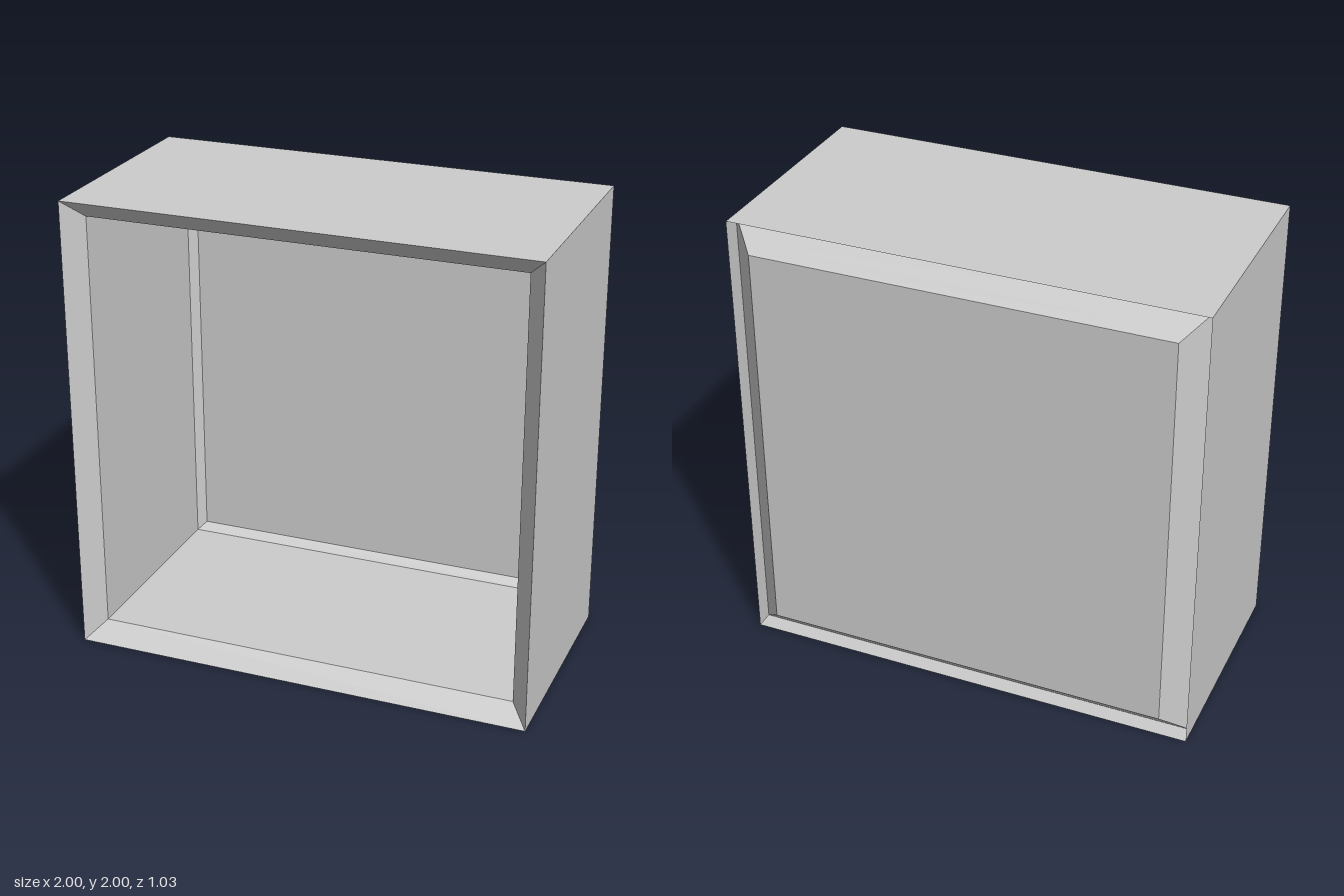
import * as THREE from 'three';

const material = new THREE.MeshStandardMaterial({
  color: 0xcccccc, flatShading: true, side: THREE.DoubleSide,
});

// Sweep a [half-width, z] profile around a square, with mitred corners.
function squareRing(name, profile) {
  const points = profile.map(([half, z]) => new THREE.Vector2(half * Math.SQRT2, z));
  const swept = new THREE.LatheGeometry(points, 4, Math.PI / 4);
  swept.rotateX(Math.PI / 2);
  const geometry = swept.toNonIndexed();
  geometry.computeVertexNormals();
  const mesh = new THREE.Mesh(geometry, material);
  mesh.name = name;
  mesh.position.y = 1;
  return mesh;
}

export function createModel() {
  const group = new THREE.Group();
  group.name = 'openBox';

  const outer = 1, inner = 0.922, panel = 0.889;
  const front = 0.517, rear = -0.483, panelZ = -0.517;
  const bevel = outer - inner;

  // Box shell and the bevelled lip round the front opening
  group.add(squareRing('outerWalls', [[outer, rear], [outer, front]]));
  group.add(squareRing('frontBevel', [[outer, front], [inner, front - bevel]]));
  group.add(squareRing('innerWalls', [[inner, front - bevel], [inner, rear]]));

  // Recessed slope behind the rear rim, and the raised panel's chamfer
  group.add(squareRing('rearBevel', [[outer, rear + bevel], [inner, rear]]));
  group.add(squareRing('panelChamfer', [[inner, rear], [panel, panelZ]]));

  // Flat back panel
  const back = new THREE.Mesh(new THREE.PlaneGeometry(panel * 2, panel * 2), material);
  back.name = 'backPanel';
  back.position.set(0, 1, panelZ);
  group.add(back);

  return group;
}
